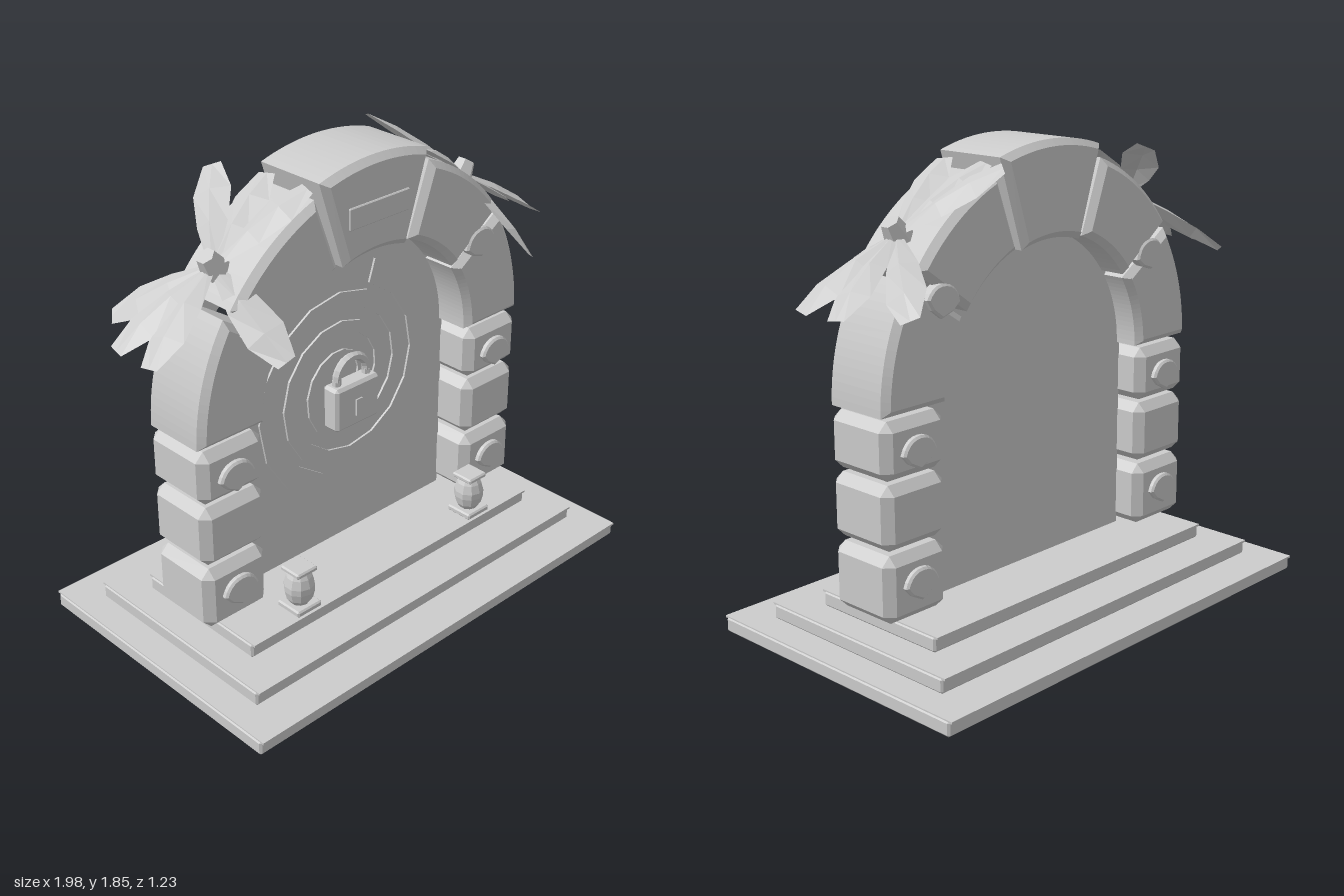
import * as THREE from 'three';
import { ConvexGeometry } from 'three/addons/geometries/ConvexGeometry.js';

const stone = new THREE.MeshStandardMaterial({ color: 0xcccccc, flatShading: true, side: THREE.DoubleSide });
stone.name = 'pale grey';

function add(parent, name, geometry, x = 0, y = 0, z = 0) {
  const mesh = new THREE.Mesh(geometry, stone);
  mesh.name = name;
  mesh.position.set(x, y, z);
  parent.add(mesh);
  return mesh;
}

// Box with every edge cut by c
function chamferBox(w, h, d, c) {
  const pts = [];
  for (const i of [-1, 1]) for (const j of [-1, 1]) for (const k of [-1, 1]) {
    const [x, y, z] = [i * w / 2, j * h / 2, k * d / 2];
    pts.push(new THREE.Vector3(x, y - j * c, z - k * c));
    pts.push(new THREE.Vector3(x - i * c, y, z - k * c));
    pts.push(new THREE.Vector3(x - i * c, y - j * c, z));
  }
  return new ConvexGeometry(pts);
}

// Extrusion centred on z, bevelled inside its outline
function slab(shape, depth, bevel, curveSegments = 8) {
  const g = new THREE.ExtrudeGeometry(shape, {
    depth: depth - 2 * bevel, curveSegments, bevelEnabled: bevel > 0,
    bevelSize: bevel, bevelThickness: bevel, bevelOffset: -bevel, bevelSegments: 1,
  });
  return g.translate(0, 0, bevel - depth / 2);
}

function archStone(a0, a1, r0, r1, depth) {
  const s = new THREE.Shape();
  const [a, b] = [a0, a1].map(THREE.MathUtils.degToRad);
  s.absarc(0, 0, r1, a, b, false);
  s.absarc(0, 0, r0, b, a, true);
  return slab(s, depth, 0.025);
}

function shellGeometry() {
  const s = new THREE.Shape();
  s.moveTo(0, -0.062);
  s.lineTo(0.05, -0.035);
  s.lineTo(0.08, 0);
  s.quadraticCurveTo(0.06, 0.062, 0, 0.062);
  s.quadraticCurveTo(-0.06, 0.062, -0.08, 0);
  s.lineTo(-0.05, -0.035);
  s.closePath();
  return slab(s, 0.05, 0.008, 5);
}

// One tapering arm of the door spiral
function spiralArm(start) {
  const outer = [], inner = [];
  for (let i = 0; i <= 28; i++) {
    const t = i * Math.PI / 8, r = 0.44 - 0.035 * t, w = 0.11 * r;
    const c = Math.cos(start - t), s = Math.sin(start - t);
    outer.push(new THREE.Vector2((r + w) * c, (r + w) * s));
    inner.unshift(new THREE.Vector2((r - w) * c, (r - w) * s));
  }
  return slab(new THREE.Shape([...outer, ...inner]), 0.009, 0);
}

// Folded leaf from the origin to its tip, raised along the middle
function leafGeometry(tip, up) {
  const side = new THREE.Vector3().crossVectors(tip, up).normalize();
  const ridge = new THREE.Vector3().crossVectors(side, tip).normalize();
  const rows = [[0.05, 0.02, 0.01], [0.4, 0.06, 0.025], [0.72, 0.075, 0.022], [1, 0.036, 0]];
  const pos = [], index = [];
  rows.forEach(([t, w, h], i) => {
    for (const k of [-1, 0, 1]) {
      const p = tip.clone().multiplyScalar(t).addScaledVector(side, k * w).addScaledVector(ridge, k ? 0 : h);
      pos.push(p.x, p.y, p.z);
    }
    if (i) for (const k of [0, 1]) {
      const a = (i - 1) * 3 + k, b = a + 3;
      index.push(a, a + 1, b, a + 1, b + 1, b);
    }
  });
  const g = new THREE.BufferGeometry();
  g.setAttribute('position', new THREE.Float32BufferAttribute(pos, 3));
  g.setIndex(index);
  g.computeVertexNormals();
  return g;
}

export function createModel() {
  const model = new THREE.Group();
  model.name = 'archGate';

  // Three steps, each with a thin overhanging tread
  [[0.99, 0.61], [0.875, 0.46], [0.76, 0.305]].forEach(([x, z], i) => {
    const y = i * 0.0625;
    add(model, 'step', chamferBox(2 * x, 0.06, 2 * z - 0.01, 0.008), 0, y + 0.03, 0);
    add(model, 'tread', new THREE.BoxGeometry(2 * x - 0.01, 0.008, 2 * z + 0.01), 0, y + 0.058, 0);
  });

  // Door panel filling the arch
  const outline = new THREE.Shape();
  outline.moveTo(-0.545, 0.18);
  outline.lineTo(0.545, 0.18);
  outline.lineTo(0.545, 0.965);
  outline.absarc(0, 0.965, 0.545, 0, Math.PI, false);
  add(model, 'doorPanel', slab(outline, 0.03, 0, 24), 0, 0, -0.02);
  for (const a of [1.25, 1.25 + Math.PI]) add(model, 'spiralArm', spiralArm(a), 0, 0.885, 0);

  // Padlock
  const lock = new THREE.Group();
  lock.name = 'padlock';
  lock.position.set(0, 0.81, 0.035);
  model.add(lock);
  add(lock, 'lockBody', chamferBox(0.23, 0.185, 0.08, 0.012));
  add(lock, 'keyhole', new THREE.BoxGeometry(0.032, 0.07, 0.008), 0, -0.012, 0.042);
  add(lock, 'shackle', new THREE.TorusGeometry(0.078, 0.018, 6, 12, Math.PI), 0, 0.11, 0);
  for (const s of [-1, 1]) add(lock, 'shackleLeg', new THREE.CylinderGeometry(0.018, 0.018, 0.05, 6), s * 0.078, 0.09, 0);

  // Keystone and its plaque
  add(model, 'keystone', archStone(72.3, 107.7, 0.515, 0.88, 0.35), 0, 0.965, 0);
  add(model, 'plaque', chamferBox(0.3, 0.085, 0.02, 0.004), 0, 1.643, 0.172);

  const shell = shellGeometry();
  const lanternProfile = [[0.035, 0], [0.052, 0.025], [0.06, 0.06], [0.06, 0.085], [0.05, 0.12], [0.035, 0.145]]
    .map(([x, y]) => new THREE.Vector2(x, y));
  // Leaf tips on the left side, relative to the hub
  const tips = [
    [0.36, -0.23, -0.09], [0.36, -0.23, 0.09], [0.22, -0.22, -0.3], [-0.24, 0.23, -0.28],
    [-0.34, 0.22, -0.1], [-0.34, 0.22, 0.11], [0, -0.23, 0.37],
  ];

  for (const s of [-1, 1]) {
    // Pillar blocks
    for (const [y0, y1] of [[0.195, 0.452], [0.47, 0.715], [0.73, 0.947]])
      add(model, 'pillarBlock', chamferBox(0.294, y1 - y0, 0.305, 0.035), s * 0.688, (y0 + y1) / 2, 0);

    // Curved stones
    for (const [a, b, d] of [[0, 33.5, 0.305], [36, 70, 0.335]]) {
      const range = s > 0 ? [a, b] : [180 - b, 180 - a];
      add(model, 'archStone', archStone(...range, 0.53, 0.833, d), 0, 0.965, 0);
    }

    // Shell ornaments, front and back
    for (const f of [-1, 1]) {
      for (const y of [0.33, 0.822]) add(model, 'shell', shell, s * 0.688, y, f * 0.15);
      add(model, 'archShell', shell, s * 0.565, 1.34, f * 0.15).rotation.z = s * 0.17;
    }

    // Lantern
    const lantern = new THREE.Group();
    lantern.name = 'lantern';
    lantern.position.set(s * 0.472, 0.187, 0.243);
    model.add(lantern);
    add(lantern, 'lanternBase', chamferBox(0.12, 0.026, 0.12, 0.006), 0, 0.013, 0);
    add(lantern, 'lanternBody', new THREE.LatheGeometry(lanternProfile, 10), 0, 0.022, 0);
    add(lantern, 'lanternCap', chamferBox(0.1, 0.022, 0.1, 0.006), 0, 0.173, 0);

    // Leaf cluster tilted outwards
    const cluster = new THREE.Group();
    cluster.name = 'leafCluster';
    cluster.position.set(s * 0.625, 1.56, 0);
    model.add(cluster);
    const up = new THREE.Vector3(s * 0.55, 0.83, 0);
    for (const [x, y, z] of tips) add(cluster, 'leaf', leafGeometry(new THREE.Vector3(s * x, y, z), up));
    add(cluster, 'hub', new THREE.CylinderGeometry(0.035, 0.055, 0.08, 6), s * 0.008, 0.015, 0).rotation.z = -s * 0.58;
  }
  return model;
}
